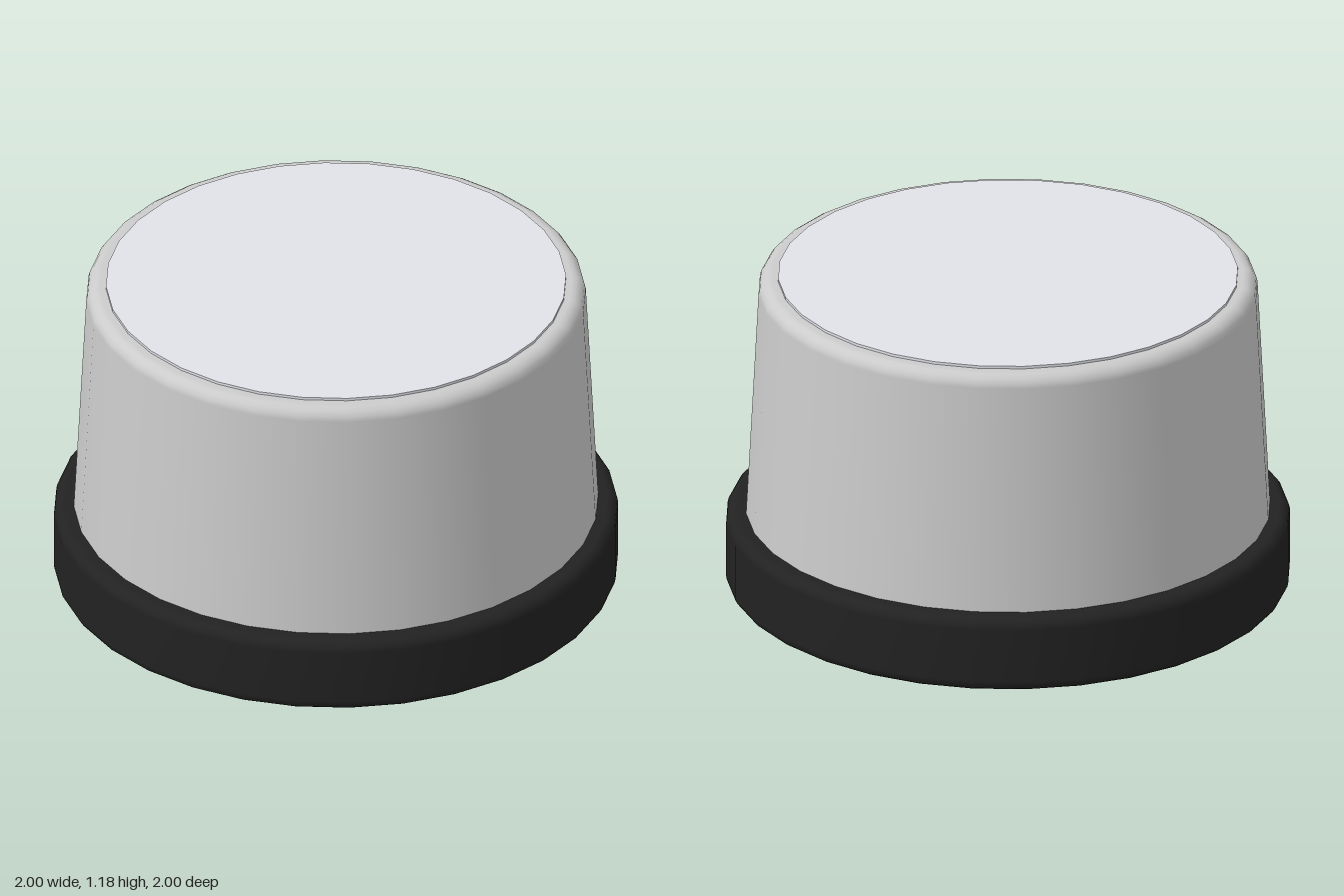
import * as THREE from 'three';

const SIDES = 32;

// Quarter-round fillet points about (cx, cy), angles in degrees
function fillet(cx, cy, r, from, to, steps = 4) {
  return Array.from({ length: steps + 1 }, (_, i) => {
    const a = THREE.MathUtils.degToRad(from + ((to - from) * i) / steps);
    return [cx + r * Math.cos(a), cy + r * Math.sin(a)];
  });
}

// Smooth turned part from a profile running bottom to top
function turned(name, profile, color) {
  const points = profile.map(([x, y]) => new THREE.Vector2(x, y));
  const mesh = new THREE.Mesh(
    new THREE.LatheGeometry(points, SIDES),
    new THREE.MeshStandardMaterial({ color })
  );
  mesh.name = name;
  return mesh;
}

export function createModel() {
  const group = new THREE.Group();
  group.name = 'knob';

  // Dark base ring with rounded edges and closed underside
  group.add(turned('base', [
    [0, 0],
    ...fillet(0.96, 0.04, 0.04, -90, 0),
    ...fillet(0.96, 0.24, 0.04, 0, 90),
    [0, 0.28],
  ], 0x222222));

  // Tapered grey body with a rounded top edge
  group.add(turned('body', [
    [0.93, 0.26],
    ...fillet(0.835, 1.122, 0.05, 3, 90),
    [0, 1.172],
  ], 0xcccccc));

  // Thin pale disc set on top
  const disc = new THREE.Mesh(
    new THREE.CylinderGeometry(0.815, 0.815, 0.02, SIDES),
    new THREE.MeshStandardMaterial({ color: 0xe0e2e8 })
  );
  disc.name = 'topDisc';
  disc.position.y = 1.172;
  group.add(disc);

  return group;
}
